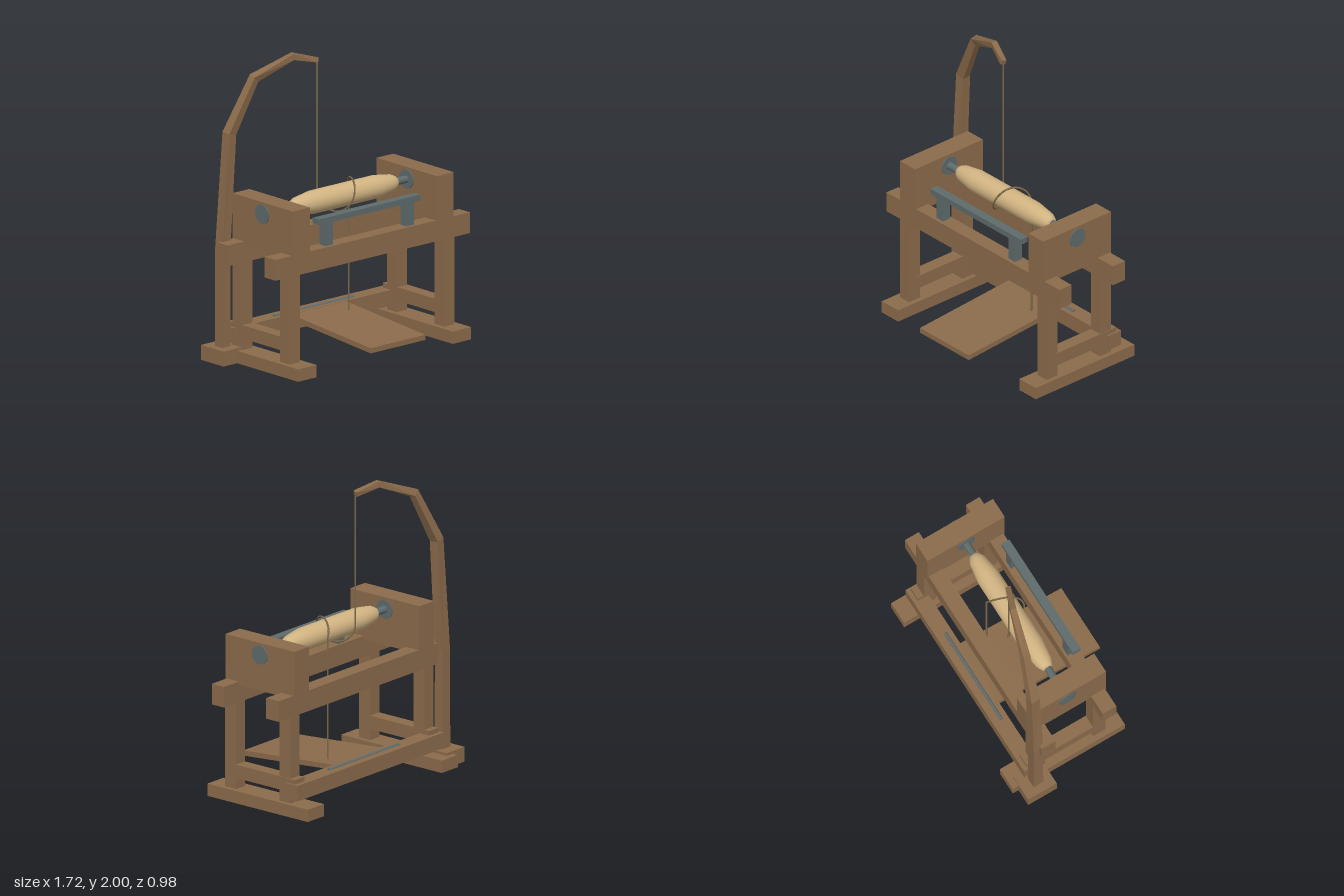
import * as THREE from 'three';

const wood = new THREE.MeshStandardMaterial({ color: 0x8b6b4b });
wood.name = 'oak wood';
const pale = new THREE.MeshStandardMaterial({ color: 0xd2b482 });
pale.name = 'pale turned wood';
const metal = new THREE.MeshStandardMaterial({ color: 0x5f6b6c });
metal.name = 'grey iron';
const rope = new THREE.MeshStandardMaterial({ color: 0x7a6848 });
rope.name = 'cord';

const AXIS_Y = 1.03, AXIS_Z = -0.043;

export function createModel() {
  const model = new THREE.Group();
  model.name = 'poleLathe';

  const add = (name, geometry, material) => {
    const mesh = new THREE.Mesh(geometry, material);
    mesh.name = name;
    model.add(mesh);
    return mesh;
  };
  // Box given by its limits on each axis
  const box = (name, [x0, x1], [y0, y1], [z0, z1], material = wood) =>
    add(name, new THREE.BoxGeometry(x1 - x0, y1 - y0, z1 - z0), material)
      .position.set((x0 + x1) / 2, (y0 + y1) / 2, (z0 + z1) / 2);
  // Cylinder lying along x
  const rod = (name, x0, x1, y, z, r, material = metal) => {
    const g = new THREE.CylinderGeometry(r, r, x1 - x0, 24).rotateZ(Math.PI / 2);
    add(name, g, material).position.set((x0 + x1) / 2, y, z);
  };

  // Bed rails
  const railZ = [[0.137, 0.24], [-0.326, -0.22]];
  for (const z of railZ) box('bedRail', [-0.83, 0.857], [0.67, 0.81], z);

  // Feet, legs, side stretchers
  for (const x of [-0.66, 0.68]) {
    box('foot', [x - 0.08, x + 0.08], [0, 0.083], [-0.49, 0.36]);
    const lx = x < 0 ? [-0.703, -0.613] : [0.638, 0.728];
    box('frontLeg', lx, [0.083, 0.68], [0.143, 0.237]);
    box('backLeg', lx, [0.083, 0.68], [-0.317, -0.223]);
    box('sideStretcher', [lx[0] + 0.002, lx[1] + 0.004], [0.16, 0.25], [-0.36, 0.19]);
  }
  box('backBeam', [-0.72, 0.745], [0.115, 0.22], [-0.39, -0.28]);

  // Poppets with iron bushings and centres
  for (const [x0, x1] of [[-0.687, -0.54], [0.563, 0.708]]) {
    box('poppet', [x0, x1], [0.785, 1.11], [-0.335, 0.25]);
    rod('bushing', x0 - 0.007, x1 + 0.007, AXIS_Y, AXIS_Z, 0.065);
  }
  rod('leftCentre', -0.56, -0.43, AXIS_Y, AXIS_Z, 0.025);
  rod('rightCentre', 0.45, 0.58, AXIS_Y, AXIS_Z, 0.025);

  // Workpiece
  const half = [[0.457, 0.03], [0.445, 0.04], [0.41, 0.057], [0.275, 0.077]];
  const profile = [
    [-0.457, 0], ...half.map(([h, r]) => [-h, r]),
    ...half.slice().reverse(), [0.457, 0],
  ].map(([h, r]) => new THREE.Vector2(r, h));
  const work = add('workpiece', new THREE.LatheGeometry(profile, 32), pale);
  work.rotation.z = -Math.PI / 2;
  work.position.set(0.012, AXIS_Y, AXIS_Z);

  // Tool rest
  box('toolRestBar', [-0.43, 0.45], [0.962, 1.0], [0.155, 0.215], metal);
  for (const x of [-0.338, 0.362])
    box('toolRestPost', [x - 0.032, x + 0.032], [0.81, 0.962], [0.155, 0.215], metal);

  // Treadle board, sloping up to its pivot rod
  const side = new THREE.Shape([[-0.487, 0.12], [0.33, 0.187], [0.33, 0.222], [-0.487, 0.155]]
    .map(([a, b]) => new THREE.Vector2(a, b)));
  const board = new THREE.ExtrudeGeometry(side, { depth: 0.475, bevelEnabled: false });
  board.rotateY(Math.PI / 2).translate(-0.225, 0, 0);
  add('treadle', board, wood);
  rod('treadlePivot', -0.337, 0.36, 0.22, -0.326, 0.011);

  // Pole socket and the bent, tapering spring pole
  box('poleBase', [-0.86, -0.68], [0, 0.1], [-0.447, -0.23]);
  add('springPole', poleGeometry([
    // x, y, z, thickness, turn of the section about y
    [-0.77, 0.05, -0.335, 0.072, 0],
    [-0.77, 0.76, -0.335, 0.07, 0],
    [-0.722, 1.52, -0.326, 0.064, 0.08],
    [-0.548, 1.868, -0.281, 0.05, 0.22],
    [-0.28, 1.98, -0.205, 0.04, 0.3],
    [-0.122, 1.938, -0.143, 0.034, 0.36],
  ]), wood);

  // Cord: down from the pole, one turn round the work, down to the treadle
  const R = 0.1;
  const coil = [];
  for (let i = 0; i <= 32; i++) {
    const a = (i / 32) * Math.PI * 2;
    coil.push(new THREE.Vector3(-0.125 + 0.275 * i / 32,
      AXIS_Y - R * Math.sin(a), AXIS_Z - R * Math.cos(a)));
  }
  add('cordCoil', new THREE.TubeGeometry(new THREE.CatmullRomCurve3(coil), 64, 0.006, 8), rope);
  for (const [name, x, y0, y1] of [['upperCord', -0.125, AXIS_Y, 1.945], ['lowerCord', 0.15, 0.2, AXIS_Y]])
    add(name, new THREE.CylinderGeometry(0.006, 0.006, y1 - y0, 8), rope)
      .position.set(x, (y0 + y1) / 2, AXIS_Z - R);

  return model;
}

// Square section swept through the given stations, with flat faces
function poleGeometry(stations) {
  const pts = stations.map(([x, y, z]) => new THREE.Vector3(x, y, z));
  const dir = (i) => pts[i + 1].clone().sub(pts[i]).normalize();
  const last = pts.length - 1;
  const pos = [], index = [];
  stations.forEach(([, , , w, turn], i) => {
    const a = dir(Math.max(i - 1, 0)), b = dir(Math.min(i, last - 1));
    const t = a.clone().add(b).normalize();
    const miter = 1 / t.dot(b);
    const across = new THREE.Vector3(Math.sin(turn), 0, Math.cos(turn));
    const up = new THREE.Vector3().crossVectors(t, across).normalize();
    across.crossVectors(up, t);
    for (const [u, v] of [[-1, -1], [1, -1], [1, 1], [-1, 1]]) {
      const p = pts[i].clone().addScaledVector(up, u * w * miter / 2).addScaledVector(across, v * w / 2);
      pos.push(p.x, p.y, p.z);
    }
    if (i < last) for (let k = 0; k < 4; k++) {
      const p = i * 4 + k, q = i * 4 + (k + 1) % 4;
      index.push(p, p + 4, q, q, p + 4, q + 4);
    }
  });
  const e = last * 4;
  index.push(0, 1, 2, 0, 2, 3, e, e + 2, e + 1, e, e + 3, e + 2);
  // up x across = -t... sections wind clockwise seen from the tip
  const g = new THREE.BufferGeometry();
  g.setAttribute('position', new THREE.Float32BufferAttribute(pos, 3));
  g.setIndex(index);
  const flat = g.toNonIndexed();
  flat.computeVertexNormals();
  return flat;
}
